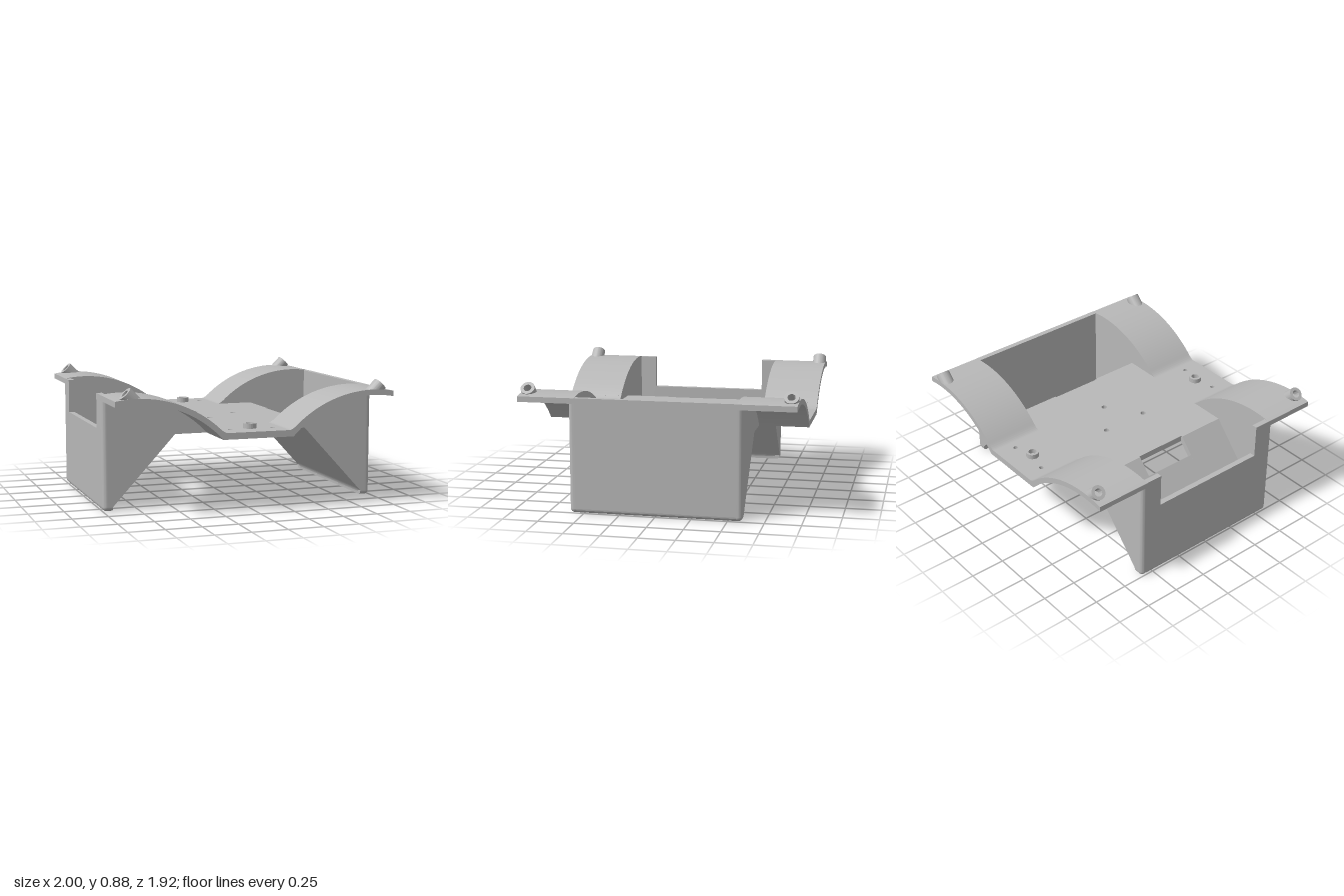
import * as THREE from 'three';
import { toCreasedNormals } from 'three/addons/utils/BufferGeometryUtils.js';

const HALF_Z = 0.96, BIN_Z = 0.56, BIN_OUT = 0.6;
const ARCH = { x: 0.85, y: -0.033, top: 0.848, under: 0.81 };
const grey = new THREE.MeshStandardMaterial({ color: 0xb8b8b8 });
grey.name = 'grey plastic';

function add(group, name, geometry) {
  const mesh = new THREE.Mesh(geometry, grey);
  mesh.name = name;
  group.add(mesh);
  return mesh;
}

const poly = (...pts) => new THREE.Shape(pts.map(([x, y]) => new THREE.Vector2(x, y)));
const extrude = (shape, depth) =>
  new THREE.ExtrudeGeometry(shape, { depth, bevelEnabled: false, curveSegments: 28 });
const smooth = (geometry) => toCreasedNormals(geometry, 0.5);

// Profile in x-y, running from z0 to z1
const alongZ = (shape, z0, z1) => smooth(extrude(shape, z1 - z0).translate(0, 0, z0));
// Plan in x and -z, running from y0 to y1
const alongY = (shape, y0, y1) => smooth(extrude(shape, y1 - y0).rotateX(-Math.PI / 2).translate(0, y0, 0));
// Outline in z-y, running from x0 to x1
const alongX = (shape, x0, x1) => smooth(extrude(shape, x1 - x0).rotateY(Math.PI / 2).translate(x0, 0, 0));

function drill(shape, x, y, r) {
  const hole = new THREE.Path();
  hole.absarc(x, y, r, 0, Math.PI * 2, true);
  shape.holes.push(hole);
}

function ring(outer, inner) {
  const shape = new THREE.Shape();
  shape.absarc(0, 0, outer, 0, Math.PI * 2, false);
  drill(shape, 0, 0, inner);
  return shape;
}

// Curved fender section, blending into the deck
function archProfile() {
  const s = new THREE.Shape();
  s.moveTo(0.22, 0.515);
  s.lineTo(0.22, 0.56);
  s.quadraticCurveTo(0.243, 0.56, 0.28, 0.594);
  s.absarc(ARCH.x, ARCH.y, ARCH.top, 2.309, 1.393, true);
  s.absarc(ARCH.x, ARCH.y, ARCH.under, 1.3846, 2.398, false);
  return s;
}

// End panel of the bin, filling the space below the fender
function panelProfile() {
  const s = new THREE.Shape();
  s.moveTo(0.484, 0.515);
  s.lineTo(0.912, 0.05);
  s.lineTo(0.93, 0.03);
  s.lineTo(0.96, 0.03);
  s.absarc(ARCH.x, ARCH.y, ARCH.under, Math.acos(0.11 / ARCH.under), 2.398, false);
  return s;
}

// Sloped bin floor with its rounded foot; the slotted one starts lower
function floorProfile(slotted) {
  const s = slotted
    ? poly([0.57, 0.422], [0.6, 0.451])
    : poly([0.49, 0.509], [0.49, 0.56], [0.5, 0.56]);
  s.lineTo(0.96, 0.06);
  s.lineTo(1, 0.06);
  s.lineTo(1, 0.03);
  s.absarc(0.97, 0.03, 0.03, 0, -Math.PI / 2, true);
  s.lineTo(0.93, 0);
  s.lineTo(0.93, 0.02);
  s.quadraticCurveTo(0.925, 0.035, 0.912, 0.05);
  return s;
}

// Tilted screw socket whose base is trimmed level inside the fender
function socketGeometry(z) {
  const geo = extrude(ring(0.05, 0.027), 0.1);
  const pos = geo.attributes.position;
  const base = Array.from({ length: pos.count }, (_, i) => pos.getZ(i) < 0.001);
  geo.translate(0, 0, -0.1).rotateX(-Math.PI / 2).rotateZ(-Math.PI / 4).translate(0.921, 0.848, z);
  base.forEach((isBase, i) => {
    if (!isBase) return;
    const t = 0.785 - pos.getY(i);
    pos.setXY(i, pos.getX(i) + t, pos.getY(i) + t);
  });
  return smooth(geo);
}

function createSide(name, notched) {
  const side = new THREE.Group();
  side.name = name;

  // Bin floor, with a slot in the middle
  add(side, 'binFloorFront', alongZ(floorProfile(false), 0.2, BIN_Z));
  add(side, 'binFloorBack', alongZ(floorProfile(false), -BIN_Z, -0.2));
  add(side, 'binFloorSlotted', alongZ(floorProfile(true), -0.2, 0.2));

  // Outer wall, optionally cut down in the middle
  const top = 0.803, cut = 0.56, n = 0.44;
  const wall = notched
    ? poly([-BIN_Z, 0.06], [BIN_Z, 0.06], [BIN_Z, top], [n, top], [n, cut], [-n, cut], [-n, top], [-BIN_Z, top])
    : poly([-BIN_Z, 0.06], [BIN_Z, 0.06], [BIN_Z, top], [-BIN_Z, top]);
  add(side, 'outerWall', alongX(wall, 0.96, 1));

  for (const s of [1, -1]) {
    const z0 = s > 0 ? BIN_Z : -BIN_OUT;
    add(side, 'endPanel', alongZ(panelProfile(), z0, z0 + 0.04));
    add(side, 'fender', alongZ(archProfile(), s > 0 ? BIN_Z : -HALF_Z, s > 0 ? HALF_Z : -BIN_Z));
    add(side, 'screwSocket', socketGeometry(s * 0.91));

    // Rounded vertical corner and its foot
    const post = new THREE.Shape();
    post.moveTo(0.96, -s * BIN_Z);
    post.lineTo(1, -s * BIN_Z);
    post.lineTo(1, -s * 0.57);
    for (let i = 1; i <= 8; i++) {
      const a = (i / 8) * Math.PI / 2;
      post.lineTo(0.97 + 0.03 * Math.cos(a), -s * (0.57 + 0.03 * Math.sin(a)));
    }
    post.lineTo(0.96, -s * BIN_OUT);
    add(side, 'cornerPost', alongY(post, 0.03, 0.766));
    add(side, 'cornerFoot', new THREE.SphereGeometry(0.03, 20, 14)).position.set(0.97, 0.03, s * 0.57);
    const edge = add(side, 'bottomEdge', new THREE.CylinderGeometry(0.03, 0.03, 0.04, 20));
    edge.rotation.z = Math.PI / 2;
    edge.position.set(0.95, 0.03, s * 0.57);
  }
  return side;
}

export function createModel() {
  const model = new THREE.Group();
  model.name = 'binTray';

  // Flat deck with screw holes
  const w = 0.49, e = 0.22;
  const deck = poly([-w, -BIN_Z], [-e, -BIN_Z], [-e, -HALF_Z], [e, -HALF_Z], [e, -BIN_Z], [w, -BIN_Z],
    [w, BIN_Z], [e, BIN_Z], [e, HALF_Z], [-e, HALF_Z], [-e, BIN_Z], [-w, BIN_Z]);
  drill(deck, 0.155, 0, 0.02);
  for (const s of [1, -1]) {
    drill(deck, -0.09, s * 0.175, 0.02);
    for (const x of [-0.155, 0.155]) drill(deck, x, s * 0.815, 0.016);
  }
  add(model, 'deck', alongY(deck, 0.515, 0.56));

  // Raised rings on the deck
  for (const s of [1, -1]) {
    add(model, 'deckRing', alongY(ring(0.046, 0.028), 0.555, 0.595)).position.z = s * 0.777;
  }

  // Two sides, one turned half way round
  model.add(createSide('leftSide', false));
  const right = createSide('rightSide', true);
  right.rotation.y = Math.PI;
  model.add(right);
  return model;
}
